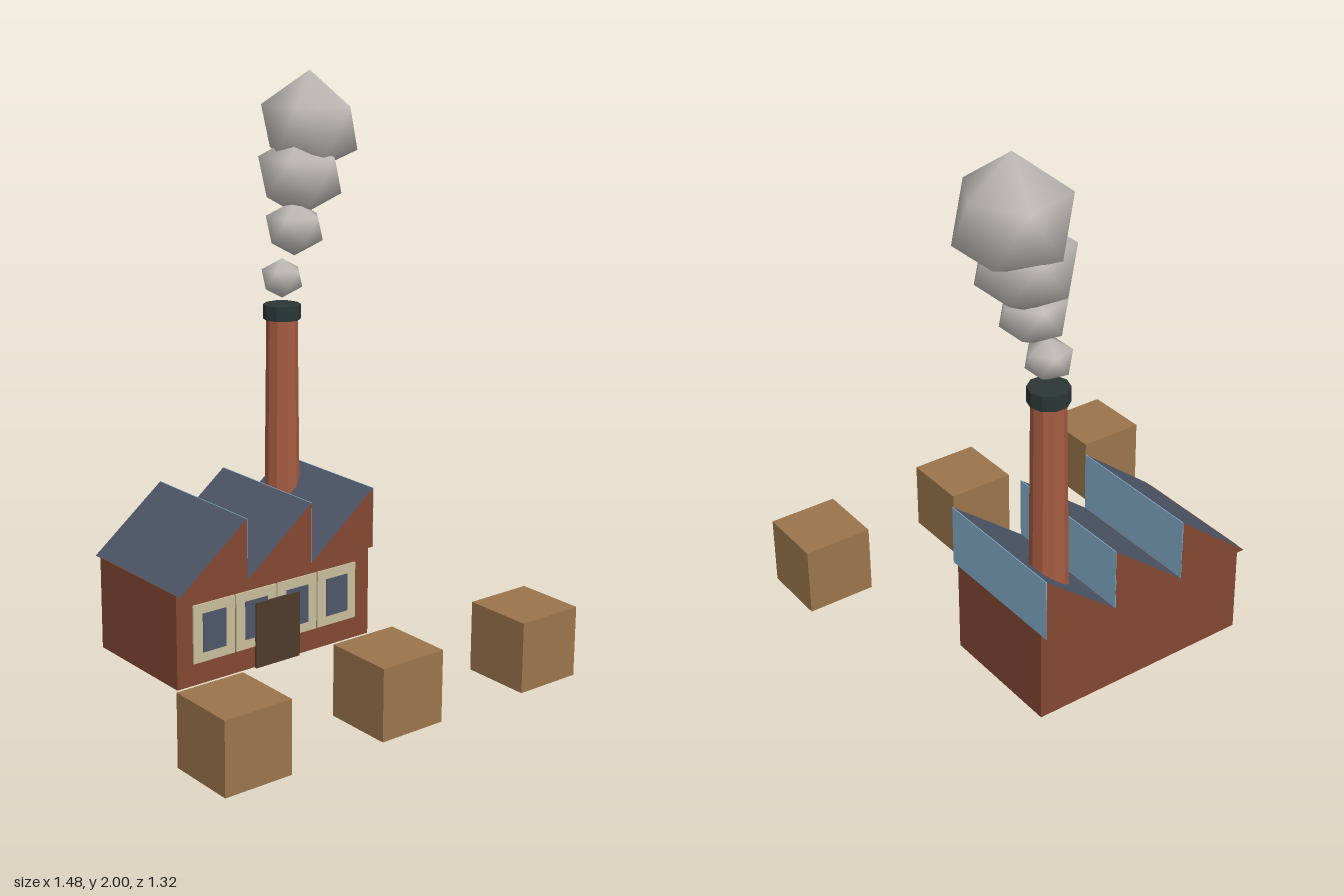
import * as THREE from 'three';

const paint = (name, color, extra = {}) => {
  const m = new THREE.MeshStandardMaterial({ color, ...extra });
  m.name = name;
  return m;
};

export function createModel() {
  const brick = paint('brick', 0x834832);
  const chimneyBrick = paint('chimneyBrick', 0xa65c42, { flatShading: true });
  const slate = paint('slate', 0x4e5668);
  const glass = paint('glass', 0x82aecb);
  const cream = paint('cream', 0xc9bd9c);
  const doorWood = paint('doorWood', 0x4f3a29);
  const crateWood = paint('crateWood', 0x9b754c);
  const iron = paint('iron', 0x2b3635, { flatShading: true });
  const smoke = paint('smoke', 0xbfbcb8);

  const root = new THREE.Group();
  root.name = 'factory';
  const add = (name, geometry, material, x, y, z) => {
    const mesh = new THREE.Mesh(geometry, material);
    mesh.name = name;
    mesh.position.set(x, y, z);
    root.add(mesh);
    return mesh;
  };
  const box = (name, material, w, h, d, x, y, z) =>
    add(name, new THREE.BoxGeometry(w, h, d), material, x, y, z);

  // Main hall
  const frontZ = -0.057;
  box('hall', brick, 0.836, 0.34, 0.474, 0, 0.17, frontZ - 0.237);

  // Sawtooth roof: brick gables, slate slopes and a glazed upright face
  const tooth = new THREE.Shape([
    new THREE.Vector2(0, 0), new THREE.Vector2(0.279, 0), new THREE.Vector2(0.279, 0.222),
  ]);
  for (let i = 0; i < 3; i++) {
    const x = -0.418 + i * 0.279;
    add('roofTooth', new THREE.ExtrudeGeometry(tooth, { depth: 0.527, bevelEnabled: false }),
      [brick, slate], x, 0.338, -0.562);
    box('roofGlazing', glass, 0.003, 0.222, 0.527, x + 0.279, 0.449, -0.2985);
  }

  // Front windows and door
  for (const x of [-0.267, -0.089, 0.089, 0.267]) {
    box('windowFrame', cream, 0.172, 0.21, 0.006, x, 0.185, frontZ + 0.003);
    box('windowPane', slate, 0.096, 0.14, 0.006, x, 0.185, frontZ + 0.006);
  }
  box('door', doorWood, 0.19, 0.24, 0.009, 0, 0.12, frontZ + 0.009);

  // Chimney
  const cx = 0.318, cz = -0.437;
  add('chimney', new THREE.CylinderGeometry(0.057, 0.07, 1.13, 10), chimneyBrick, cx, 0.57, cz)
    .rotation.y = Math.PI / 2;
  add('chimneyCap', new THREE.CylinderGeometry(0.069, 0.069, 0.053, 10), iron, cx, 1.148, cz)
    .rotation.y = Math.PI / 2;

  // Smooth-shaded twelve-point smoke puff: two offset rings of five between two poles
  const puffGeometry = (r, h, limit, drop) => {
    const pos = [0, h, 0];
    for (let ring = 0; ring < 2; ring++) {
      for (let k = 0; k < 5; k++) {
        const a = ((k + ring / 2) * Math.PI * 2) / 5;
        pos.push(THREE.MathUtils.clamp(0.894 * r * Math.cos(a), -limit, limit),
          (ring ? -0.447 : 0.447) * h - drop, 0.894 * r * Math.sin(a));
      }
    }
    pos.push(0, -h, 0);
    const index = [];
    for (let k = 0; k < 5; k++) {
      const u = 1 + k, v = 1 + ((k + 1) % 5), l = 6 + k, m = 6 + ((k + 1) % 5);
      index.push(0, v, u, u, v, l, v, m, l, 11, l, m);
    }
    const g = new THREE.BufferGeometry();
    g.setAttribute('position', new THREE.Float32BufferAttribute(pos, 3));
    g.setIndex(index);
    g.computeVertexNormals();
    return g;
  };
  // [x, y, z, radius, half height, sideways limit, ring drop]
  for (const [x, y, z, r, h, limit, drop] of [
    [0.318, 1.27, -0.437, 0.082, 0.072, 1, 0],
    [0.378, 1.445, -0.442, 0.115, 0.1, 1, 0],
    [0.425, 1.63, -0.47, 0.168, 0.15, 1, 0],
    [0.485, 1.815, -0.492, 0.195, 0.185, 0.15, 0.02],
  ]) add('smokePuff', puffGeometry(r, h, limit, drop), smoke, x, y, z);

  // Crates in the yard
  for (const x of [-0.613, 0, 0.613]) box('crate', crateWood, 0.25, 0.25, 0.25, x, 0.125, 0.54);

  return root;
}
